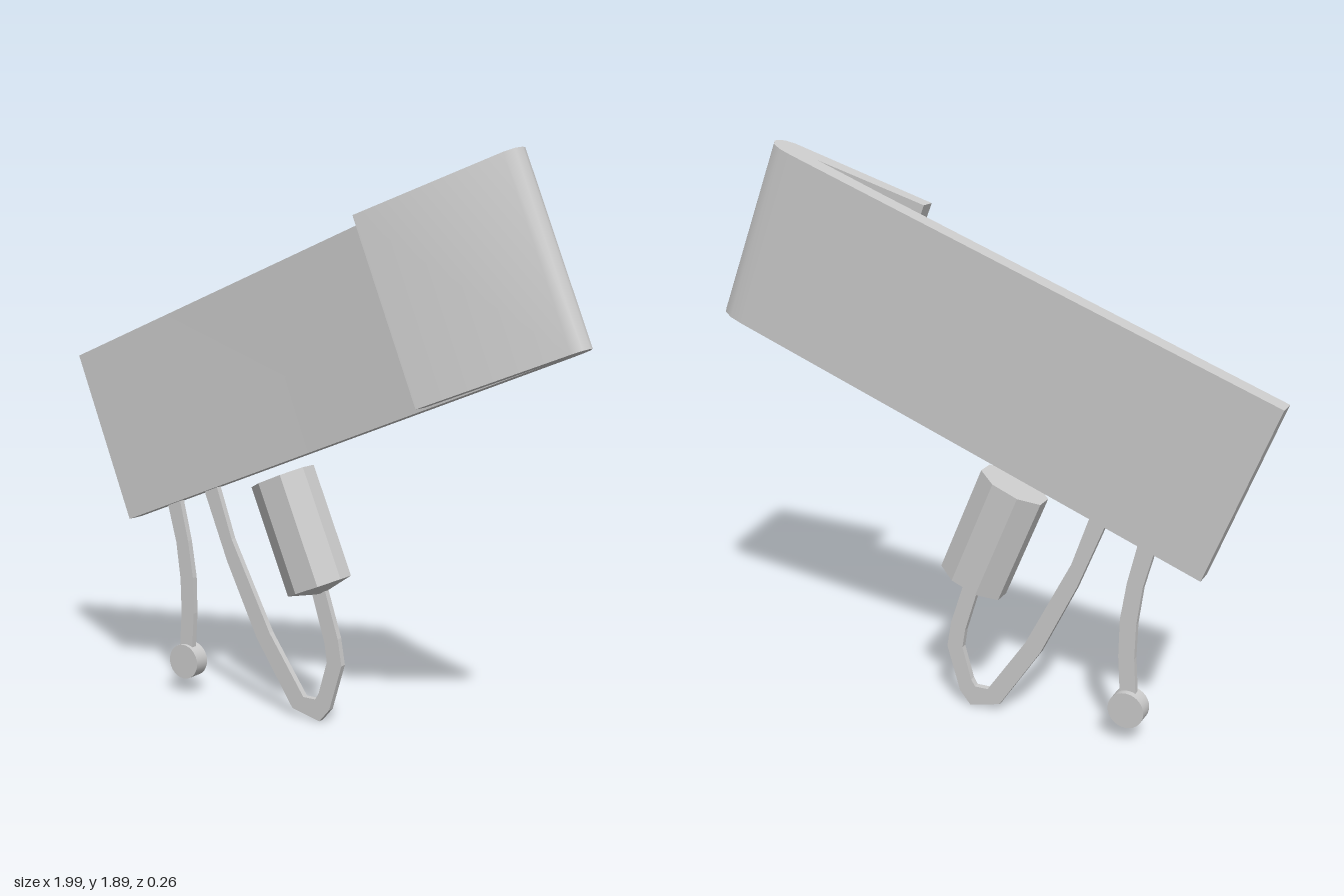
import * as THREE from 'three';
import { toCreasedNormals } from 'three/addons/utils/BufferGeometryUtils.js';

const TILT = Math.atan2(0.69, 1.76);
const CORD_Z = -0.05;

function makeMesh(name, geometry, flatShading = false) {
  const mesh = new THREE.Mesh(geometry, new THREE.MeshStandardMaterial({ color: 0xcccccc, flatShading }));
  mesh.name = name;
  return mesh;
}

function extrude(points, depth) {
  const shape = new THREE.Shape(points.map(([x, y]) => new THREE.Vector2(x, y)));
  return new THREE.ExtrudeGeometry(shape, { depth, bevelEnabled: false });
}

// Flat cord from its two edges, listed from one end to the other
function makeCord(name, outer, inner) {
  const depth = 0.022;
  const geometry = extrude([...outer, ...inner.slice().reverse()], depth);
  geometry.translate(0, 0, CORD_Z - depth / 2);
  return makeMesh(name, geometry, true);
}

export function createModel() {
  const model = new THREE.Group();
  model.name = 'foldedStrapWithCords';

  // Strap: folded profile (along the strap, z), extruded over its width
  const profile = [
    [0, -0.082], [1.79, -0.082], [1.835, -0.078], [1.87, -0.06], [1.888, -0.03], [1.89, -0.008],
    [1.878, 0.02], [1.847, 0.038], [1.355, 0.13], [1.355, 0.075], [1.73, -0.008],
    [1.45, -0.014], [0, -0.014],
  ];
  const strapGeometry = extrude(profile.map(([u, z]) => [u, -z]), 0.624);
  strapGeometry.rotateX(-Math.PI / 2);
  const strap = makeMesh('foldedStrap', toCreasedNormals(strapGeometry, 0.75));
  strap.position.set(-0.77, 0.618, 0);
  strap.rotation.z = TILT;
  model.add(strap);

  // Looped cord from the strap to the plug
  model.add(makeCord('loopCord',
    [[-0.455, 0.77], [-0.35, 0.51], [-0.225, 0.255], [-0.075, 0.03], [0.035, 0.003],
      [0.075, 0.05], [0.123, 0.21], [0.108, 0.3], [0.05, 0.48]],
    [[-0.4, 0.79], [-0.33, 0.59], [-0.17, 0.28], [-0.03, 0.077], [0.018, 0.077],
      [0.032, 0.1], [0.065, 0.215], [0.055, 0.28], [0.0, 0.46]]));

  // Short cord with a round bead
  model.add(makeCord('shortCord',
    [[-0.615, 0.7], [-0.575, 0.55], [-0.558, 0.42], [-0.555, 0.3], [-0.565, 0.15]],
    [[-0.56, 0.72], [-0.522, 0.56], [-0.502, 0.43], [-0.5, 0.3], [-0.51, 0.15]]));
  const beadGeometry = new THREE.CylinderGeometry(0.062, 0.062, 0.058, 28);
  beadGeometry.rotateX(Math.PI / 2);
  const bead = makeMesh('bead', toCreasedNormals(beadGeometry, 0.6));
  bead.position.set(-0.538, 0.121, -0.054);
  model.add(bead);

  // Plug: flattened eight-sided body with a shallow cone at the cord end
  const half = 0.195;
  const plugProfile = [[0, -half - 0.028], [1, -half], [1, half], [0, half]];
  const plugGeometry = new THREE.LatheGeometry(plugProfile.map(([r, y]) => new THREE.Vector2(r, y)), 8);
  plugGeometry.rotateY(Math.PI / 8);
  const widen = 1 / Math.cos(Math.PI / 8);
  plugGeometry.scale(0.114 * widen, 1, 0.078 * widen);
  const plug = makeMesh('plug', plugGeometry, true);
  plug.position.set(-0.048, 0.649, CORD_Z);
  plug.rotation.z = TILT + 0.02;
  model.add(plug);

  return model;
}
